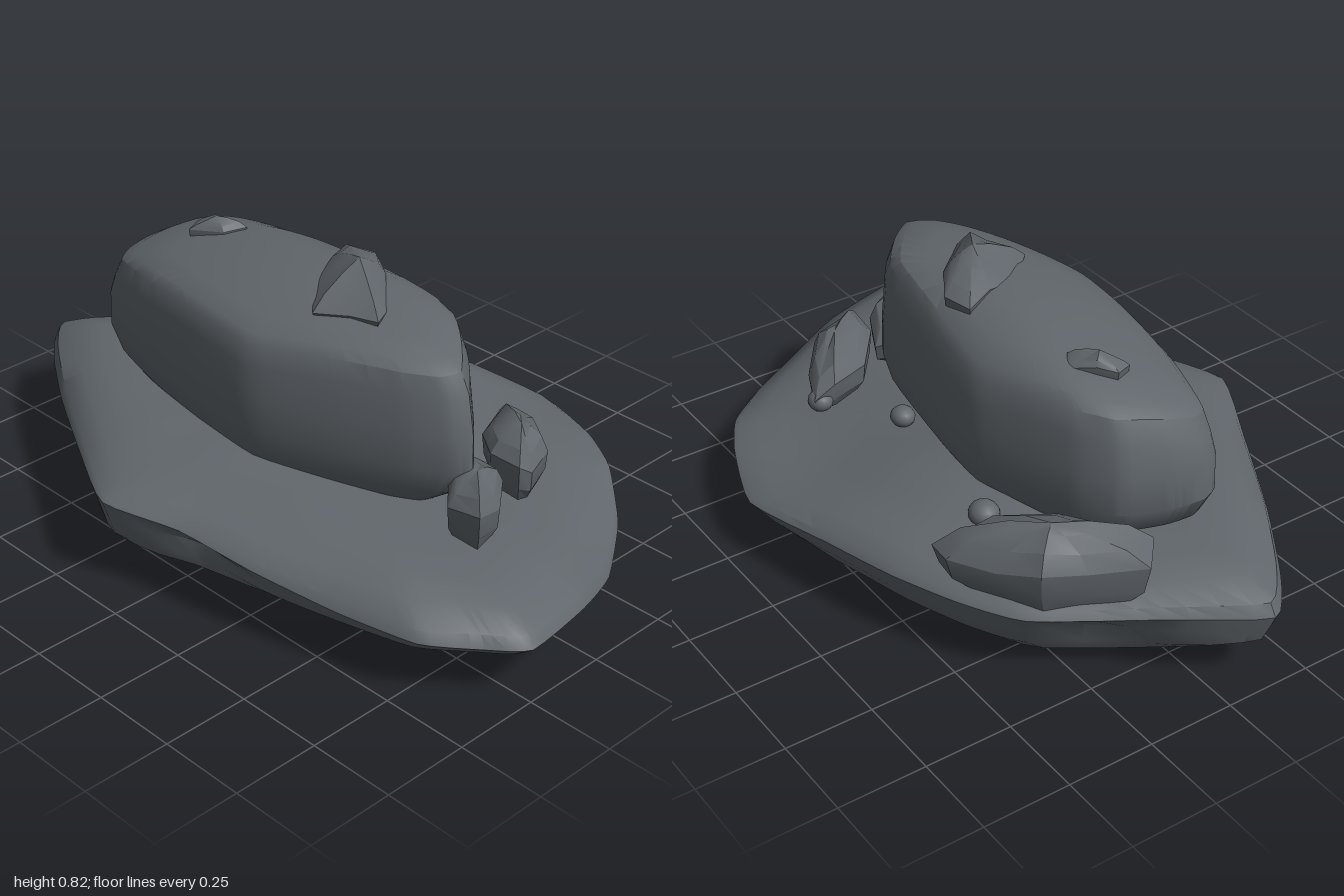
import * as THREE from 'three';
import { toCreasedNormals } from 'three/addons/utils/BufferGeometryUtils.js';

const stone = new THREE.MeshStandardMaterial({ color: 0x60666b });
stone.name = 'slate stone';
const { clamp } = THREE.MathUtils;

// Outline [x, z, y] as a closed ring of vectors, turned so that faces point outwards
function outlineRing(points, samples) {
  let area = 0;
  points.forEach(([x, z], i) => {
    const [x2, z2] = points[(i + 1) % points.length];
    area += x * z2 - x2 * z;
  });
  const ring = points.map(([x, z, y = 0]) => new THREE.Vector3(x, y, z));
  if (area > 0) ring.reverse();
  if (!samples) return ring;
  return new THREE.CatmullRomCurve3(ring, true, 'catmullrom', 0.25).getPoints(samples).slice(0, -1);
}

// Closed skin over rings listed from bottom to top, with a fan at each end
function loft(name, rings, bottom, top, crease) {
  const n = rings[0].length, last = (rings.length - 1) * n;
  const verts = [...rings.flat(), bottom, top];
  const b = verts.length - 2, t = verts.length - 1;
  const index = [];
  for (let i = 0; i < n; i++) {
    const j = (i + 1) % n;
    index.push(b, j, i, t, last + i, last + j);
    for (let r = 0; r < last; r += n) {
      index.push(r + i, r + j, r + n + i, r + j, r + n + j, r + n + i);
    }
  }
  const g = new THREE.BufferGeometry().setFromPoints(verts);
  g.setIndex(index);
  const mesh = new THREE.Mesh(toCreasedNormals(g, crease), stone);
  mesh.name = name;
  return mesh;
}

// Ring scaled about (cx, cz), with heights from a rule; the scale may vary along the ring
const scaled = (ring, s, cx, cz, height) => ring.map((p) => {
  const k = typeof s === 'function' ? s(p) : s;
  const x = cx + (p.x - cx) * k, z = cz + (p.z - cz) * k;
  return new THREE.Vector3(x, height(x, z, p.y), z);
});

// Wide tilted slab with a thin rim and scoops broken out of its sides
function slab() {
  const rim = outlineRing([
    [-0.13, -1, 0.23], [-0.25, -0.88, 0.23], [-0.4, -0.65, 0.24], [-0.56, -0.36, 0.25], [-0.68, -0.12, 0.265],
    [-0.61, 0.1, 0.25], [-0.57, 0.33, 0.22], [-0.51, 0.58, 0.19], [-0.45, 0.8, 0.18], [-0.34, 0.92, 0.17],
    [-0.25, 0.998, 0.165], [0, 0.95, 0.14], [0.2, 0.87, 0.1], [0.38, 0.75, 0.13], [0.52, 0.6, 0.18],
    [0.6, 0.46, 0.19], [0.68, 0.23, 0.18], [0.62, -0.07, 0.21], [0.56, -0.3, 0.22], [0.48, -0.49, 0.22],
    [0.38, -0.65, 0.22], [0.1, -0.85, 0.23],
  ], 88);
  const scoops = [[0.56, 0.52], [-0.6, 0.15], [0.24, -0.76]];
  const scoop = (p) => scoops.reduce((sum, [x, z]) => sum + Math.exp(-((p.x - x) ** 2 + (p.z - z) ** 2) / 0.03), 0);
  const toRight = (x) => clamp(x / 0.6, 0, 1);
  const under = (x, z) => Math.max(0, 0.035 - 0.13 * x) + 0.15 * Math.max(0, x - 0.27) + 0.055 * Math.abs(z);
  const over = (x, z) => 0.295 - 0.08 * x - 0.065 * Math.max(0, z) + 0.025 * Math.max(0, -z)
    - 0.2 * Math.max(0, -x - 0.35) + 0.055 * clamp((x + 0.2) / 0.4, 0, 1) * Math.exp(-(((z + 0.17) / 0.33) ** 2));
  const below = (k) => (x, z, y) => y + (under(x, z) - y) * k;
  const above = (k) => (x, z, y) => y + (over(x, z) - y) * k * (1 - 0.4 * toRight(x));
  const inset = (s, taper, dent) => (p) => s - taper * toRight(p.x) - dent * scoop(p);
  const ring = (s, h) => scaled(rim, s, 0, 0, h);
  return loft('baseSlab', [
    ring(0.2, under), ring(0.5, under), ring(inset(0.9, 0.12, 0), under), ring(inset(0.96, 0.08, 0.05), below(0.75)),
    ring(inset(0.98, 0.03, 0.07), below(0.4)),
    rim, ring(0.98, above(0.36)), ring(0.9, above(0.75)), ring(0.8, above(0.95)), ring(0.65, above(1)),
    ring(0.5, over), ring(0.25, over),
  ], new THREE.Vector3(0, 0.035, 0), new THREE.Vector3(0, 0.31, 0), 0.6);
}

// Tall boulder with steep walls, an undercut foot and a domed top that falls away to its left
function boulder() {
  const wall = outlineRing([
    [-0.2, -0.66], [-0.14, -0.695], [-0.05, -0.685], [0.08, -0.635], [0.15, -0.54], [0.2, -0.4], [0.25, -0.22],
    [0.23, 0], [0.17, 0.35], [0.06, 0.5], [-0.04, 0.595], [-0.1, 0.57], [-0.16, 0.48], [-0.24, 0.29],
    [-0.32, 0.05], [-0.3, -0.2], [-0.26, -0.45],
  ], 68);
  const top = (x, z) => 0.757 - 0.75 * (x - 0.05) ** 2 - 0.2 * z * z - 3.2 * Math.max(0, x - 0.08) ** 2;
  const drop = (d) => (x, z) => top(x, z) - d;
  const ring = (s, h) => scaled(wall, s, -0.04, -0.05, h);
  return loft('mainBoulder', [
    ring(0.76, () => 0.25), ring(0.94, () => 0.335), ring(1, () => 0.41), ring(0.995, () => 0.51),
    ring(0.965, drop(0.065)), ring(0.92, drop(0.015)), ring(0.85, top), ring(0.65, top), ring(0.35, top),
  ], new THREE.Vector3(-0.04, 0.25, -0.05), new THREE.Vector3(-0.04, 0.75, -0.05), 0.5);
}

// Faceted loose rock: outline with rim offsets, floor height, rim height, peak [x, y, z] and roundness
function rock(name, outline, floor, rimY, [px, py, pz], round) {
  const ring = outlineRing(outline);
  const at = (s, y, lift, wobble) => scaled(ring, s, px, pz, (x, z, dy) => y + dy * lift).map((p, i) => {
    p.y += wobble * Math.sin(i * 2.4 + px * 20);
    return p;
  });
  const h = py - rimY;
  return loft(name, [
    at(0.72, floor, 0, 0), at(0.94, floor + (rimY - floor) * 0.4, 0.5, 0.008), at(1, rimY, 1, 0.01),
    at(0.75, rimY + h * round, 0.6, 0.012), at(0.35, rimY + h * (0.4 + round * 0.9), 0.2, 0.008),
  ], new THREE.Vector3(px, floor, pz), new THREE.Vector3(px, py, pz), 0.45);
}

function pebble(x, y, z, r) {
  const mesh = new THREE.Mesh(new THREE.SphereGeometry(r, 14, 10), stone);
  mesh.scale.set(1, 0.85, 1.05);
  mesh.position.set(x, y, z);
  mesh.name = 'pebble';
  return mesh;
}

export function createModel() {
  const model = new THREE.Group();
  model.name = 'rockPile';
  model.add(
    slab(),
    boulder(),
    rock('backRock', [
      [0.12, -0.81, 0.04], [0.05, -0.73, 0.04], [0.1, -0.6, 0.02], [0.17, -0.5], [0.35, -0.37, -0.02],
      [0.42, -0.34, -0.04], [0.48, -0.37, -0.02], [0.49, -0.45], [0.42, -0.57], [0.36, -0.68, 0.02], [0.25, -0.73, 0.03],
    ], 0.24, 0.34, [0.28, 0.46, -0.61], 0.5),
    rock('frontRightRock', [
      [-0.16, 0.73, 0.03], [-0.16, 0.62, 0.03], [-0.06, 0.53, 0.02], [0.07, 0.48], [0.1, 0.51, -0.01],
      [0.05, 0.62], [-0.05, 0.7, 0.01],
    ], 0.25, 0.34, [-0.04, 0.412, 0.61], 0.55),
    rock('frontLeftRock', [
      [0.09, 0.64, 0.03], [0.1, 0.53, 0.03], [0.19, 0.42, 0.01], [0.32, 0.37], [0.38, 0.38, -0.02],
      [0.34, 0.48, -0.01], [0.25, 0.6], [0.13, 0.65, 0.02],
    ], 0.25, 0.34, [0.22, 0.412, 0.53], 0.55),
    rock('topRock', [
      [-0.16, 0.13, -0.025], [-0.05, 0.02], [0.06, -0.02, 0.01], [0.15, -0.06, 0.01], [0.17, 0.03, 0.015],
      [0.1, 0.14], [-0.03, 0.27], [-0.09, 0.3, -0.01], [-0.11, 0.22, -0.015],
    ], 0.69, 0.745, [0.02, 0.823, 0.12], 0.35),
    rock('smallTopRock', [
      [-0.06, -0.47], [-0.01, -0.49], [0.03, -0.45], [0.075, -0.39], [0.05, -0.35], [-0.01, -0.38],
    ], 0.68, 0.73, [0.0, 0.765, -0.42], 0.4),
    pebble(0.35, 0.295, 0.4, 0.036),
    pebble(0.21, 0.305, 0.19, 0.035),
    pebble(0.285, 0.315, -0.32, 0.042),
  );
  return model;
}
